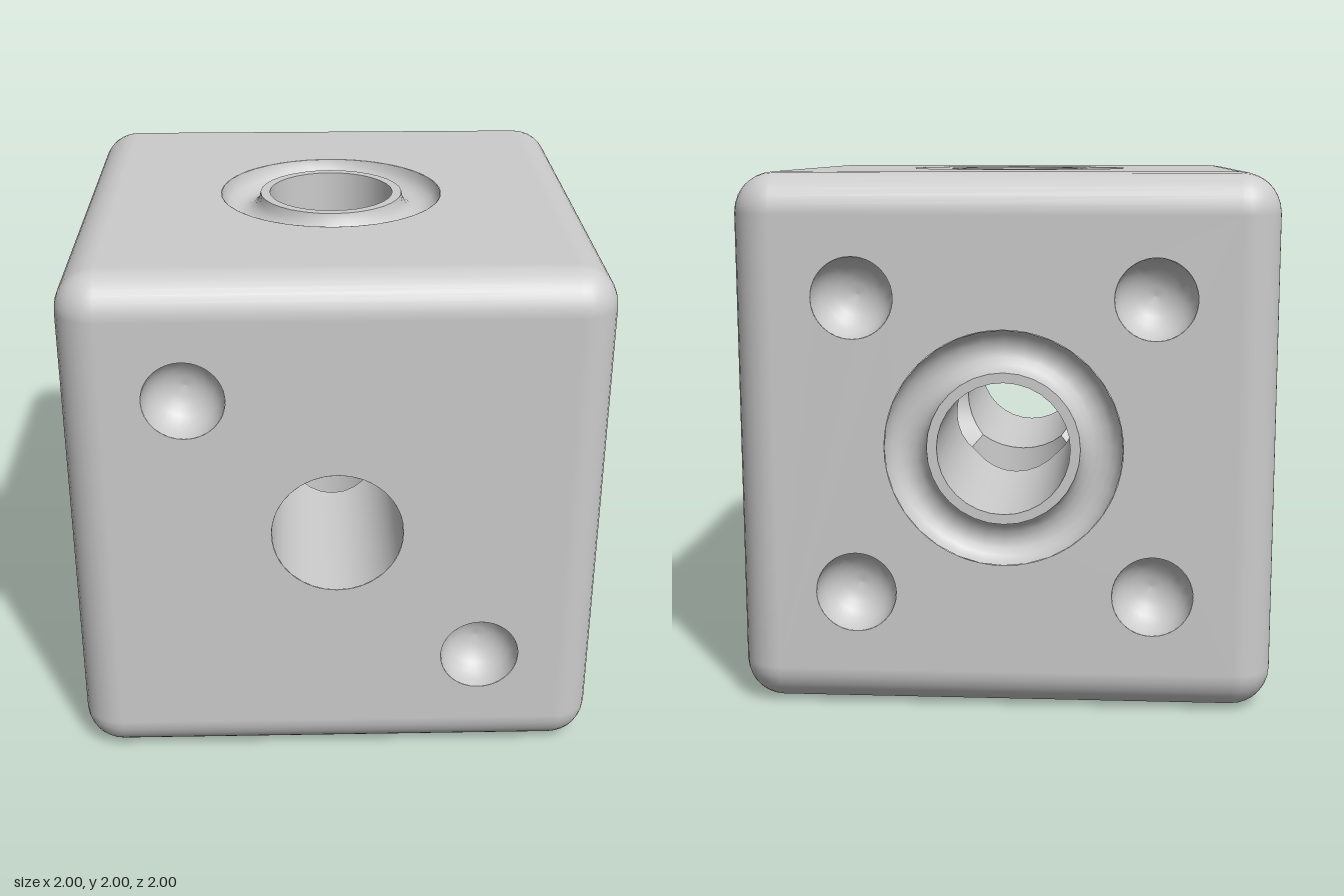
import * as THREE from 'three';
import { RoundedBoxGeometry } from 'three/addons/geometries/RoundedBoxGeometry.js';

const SEG = 32;      // divisions around every round feature
const BEVEL = 0.15;  // edge rounding of the cube
const BORE = 0.245;  // radius of the three crossing bores
const PIP = 0.15;    // radius of the pips
const RING = 0.36;   // centre radius of the ring groove
const RING_HALF = 0.078;

// Lathe whose axis points out of the face (+z); profiles run from outside in
function turned(points) {
  return new THREE.LatheGeometry(points.map(([r, h]) => new THREE.Vector2(r, h)), SEG).rotateX(Math.PI / 2);
}

// Quarter or half round profile, from the outer rim downward
function arc(centre, radius, depth, sweep, steps) {
  return Array.from({ length: steps + 1 }, (_, i) => {
    const a = (i / steps) * sweep;
    return [Math.max(0, centre + radius * Math.cos(a)), -depth * Math.sin(a)];
  });
}

// Rounded edges and corners: a rounded box without its six flat faces
function roundedFrame() {
  const box = new RoundedBoxGeometry(2, 2, 2, 4, BEVEL);
  const src = box.index ? box.toNonIndexed() : box;
  const p = src.attributes.position, n = src.attributes.normal;
  const pos = [], nor = [];
  for (let i = 0; i < p.count; i += 3) {
    const mid = [0, 1, 2].map(k =>
      Math.abs(p.getComponent(i, k) + p.getComponent(i + 1, k) + p.getComponent(i + 2, k)) / 3);
    if (mid.filter(c => c < 0.5).length >= 2) continue;
    for (let j = i; j < i + 3; j++) {
      pos.push(p.getX(j), p.getY(j), p.getZ(j));
      nor.push(n.getX(j), n.getY(j), n.getZ(j));
    }
  }
  const geo = new THREE.BufferGeometry();
  geo.setAttribute('position', new THREE.Float32BufferAttribute(pos, 3));
  geo.setAttribute('normal', new THREE.Float32BufferAttribute(nor, 3));
  return geo;
}

// Bore wall from the face to the curve where it meets the other two bores
function boreWall() {
  const geo = turned([[BORE, 1], [BORE, 0]]);
  const p = geo.attributes.position;
  for (let i = 0; i < p.count; i++) {
    if (p.getZ(i) < 0.5) p.setZ(i, Math.max(Math.abs(p.getX(i)), Math.abs(p.getY(i))));
  }
  return geo;
}

// Flat face with openings for the bore or groove and the pips
function facePlate(pips, grooved) {
  const e = 1 - BEVEL;
  const shape = new THREE.Shape([[-e, -e], [e, -e], [e, e], [-e, e]].map(([x, y]) => new THREE.Vector2(x, y)));
  const cut = (x, y, r) => shape.holes.push(new THREE.Path().absarc(x, y, r, 0, Math.PI * 2, true));
  cut(0, 0, grooved ? RING + RING_HALF : BORE);
  pips.forEach(([x, y]) => cut(x, y, PIP));
  return new THREE.ShapeGeometry(shape, SEG);
}

export function createModel() {
  const model = new THREE.Group();
  model.name = 'boredDie';
  const grey = new THREE.MeshStandardMaterial({ color: 0xcccccc, side: THREE.DoubleSide });
  grey.name = 'light grey';

  const cube = new THREE.Group();
  cube.name = 'cube';
  cube.position.y = 1;
  model.add(cube);

  const add = (parent, name, geo) => {
    const mesh = new THREE.Mesh(geo, grey);
    mesh.name = name;
    parent.add(mesh);
    return mesh;
  };
  add(cube, 'roundedEdges', roundedFrame());

  const pipGeo = turned(arc(0, PIP, 0.14, Math.PI / 2, 6));
  const grooveGeo = turned(arc(RING, RING_HALF, 0.075, Math.PI, 8));
  const lipGeo = turned([[RING - RING_HALF, 0], [BORE, 0]]);
  const boreGeo = boreWall();

  // Pip layouts in each face's own right/up directions
  const d = 0.55, q = Math.PI / 2;
  const two = [[-d, d], [d, -d]];
  const twoMirrored = [[d, d], [-d, -d]];
  const four = [...two, ...twoMirrored];
  const six = [...four, [-d, 0], [d, 0]];

  // name, x turn, y turn, pips, ring groove
  const faces = [
    ['front', 0, 0, two, false],
    ['leftSide', 0, q, twoMirrored, true],
    ['back', 0, 2 * q, four, true],
    ['rightSide', 0, -q, four, false],
    ['top', -q, 0, [], true],
    ['bottom', q, 0, six, false],
  ];
  for (const [name, rx, ry, pips, grooved] of faces) {
    const face = new THREE.Group();
    face.name = name + 'Face';
    face.rotation.set(rx, ry, 0);
    cube.add(face);
    add(face, name + 'Plate', facePlate(pips, grooved)).position.z = 1;
    add(face, name + 'Bore', boreGeo);
    if (grooved) {
      add(face, name + 'Groove', grooveGeo).position.z = 1;
      add(face, name + 'Lip', lipGeo).position.z = 1;
    }
    pips.forEach(([x, y], i) => add(face, `${name}Pip${i + 1}`, pipGeo).position.set(x, y, 1));
  }
  return model;
}
